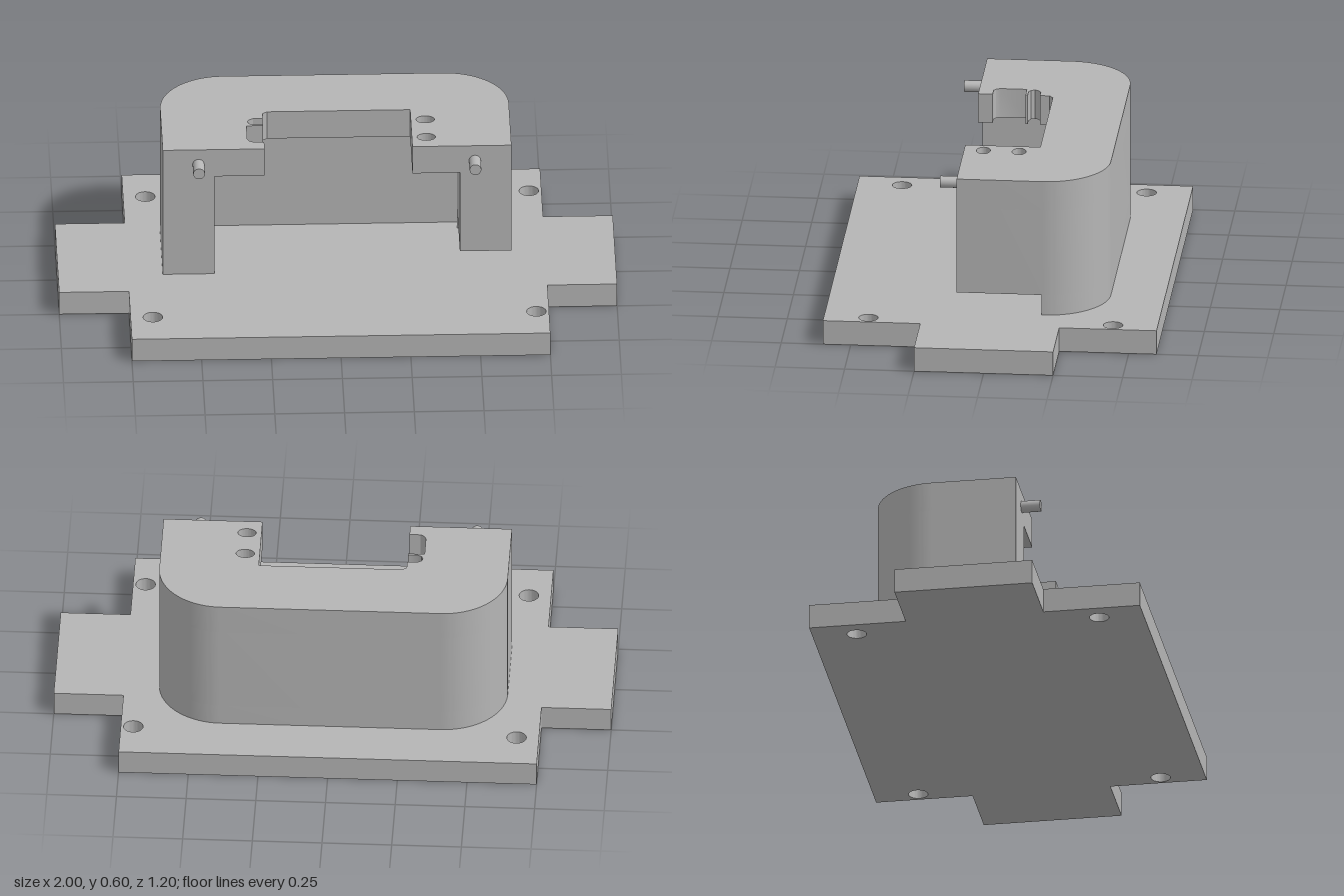
import * as THREE from 'three';
import { toCreasedNormals } from 'three/addons/utils/BufferGeometryUtils.js';

export function createModel() {
  const model = new THREE.Group();
  const grey = new THREE.MeshStandardMaterial({ color: 0xb5b5b5 });
  grey.name = 'matte grey';

  // Plan shapes use (x, -z); each is raised from y0 to y1.
  function addSlab(name, shape, y0, y1) {
    let geo = new THREE.ExtrudeGeometry(shape, { depth: y1 - y0, bevelEnabled: false, curveSegments: 20 });
    geo.rotateX(-Math.PI / 2);
    geo.translate(0, y0, 0);
    geo = toCreasedNormals(geo, 0.5);
    const mesh = new THREE.Mesh(geo, grey);
    mesh.name = name;
    model.add(mesh);
  }
  const lineTo = (shape, points) => points.forEach(([x, z]) => shape.lineTo(x, -z));
  function addHole(shape, x, z, rx, rz) {
    const hole = new THREE.Path();
    hole.absellipse(x, -z, rx, rz, 0, Math.PI * 2, true);
    shape.holes.push(hole);
  }

  // Cross-shaped base plate with four screw holes
  const plate = new THREE.Shape();
  plate.moveTo(-0.75, -0.6);
  lineTo(plate, [[0.75, 0.6], [0.75, 0.25], [1, 0.25], [1, -0.25], [0.75, -0.25], [0.75, -0.6],
    [-0.75, -0.6], [-0.75, -0.25], [-1, -0.25], [-1, 0.25], [-0.75, 0.25]]);
  for (const x of [-0.67, 0.705]) for (const z of [-0.44, 0.44]) addHole(plate, x, z, 0.035, 0.035);
  addSlab('basePlate', plate, 0, 0.09);

  // Housing outline with rounded back corners; the inner edge closes it
  const W = 0.625, F = 0.13, B = -0.405, R = 0.23;
  function housing(rightFront, inner) {
    const s = new THREE.Shape();
    s.moveTo(W, -rightFront);
    s.lineTo(W, -(B + R));
    s.absarc(W - R, -(B + R), R, 0, Math.PI / 2, false);
    s.absarc(-W + R, -(B + R), R, Math.PI / 2, Math.PI, false);
    s.lineTo(-W, -F);
    lineTo(s, inner);
    return s;
  }
  const IN = 0.44, back = -0.22, notch = B + R;
  const cavity = [[-IN, F], [-IN, back], [IN, back]];

  // Lower walls stop short on one side to leave a cable notch
  addSlab('lowerWalls', housing(notch, [...cavity, [IN, notch]]), 0.09, 0.167);
  addSlab('upperWalls', housing(F, [...cavity, [IN, F]]), 0.167, 0.49);

  // Roof opening with latch slots on one edge and oval holes beside the other
  const roof = housing(F, [
    [-0.26, F], [-0.26, 0.078], [-0.3, 0.078], [-0.313, 0.07], [-0.32, 0.055], [-0.32, -0.04], [-0.26, -0.04],
    [-0.26, -0.048], [-0.295, -0.048], [-0.31, -0.056], [-0.316, -0.07], [-0.31, -0.083], [-0.295, -0.092],
    [-0.26, -0.092], [-0.26, -0.127], [-0.243, -0.14], [0.27, -0.14], [0.27, F],
  ]);
  for (const z of [-0.068, 0.06]) addHole(roof, 0.322, z, 0.033, 0.025);
  addSlab('roof', roof, 0.49, 0.6);

  // Front pegs
  for (const x of [-0.497, 0.494]) {
    const peg = new THREE.Mesh(new THREE.CylinderGeometry(0.021, 0.021, 0.08, 24), grey);
    peg.rotation.x = Math.PI / 2;
    peg.position.set(x, 0.54, 0.16);
    peg.name = 'frontPeg';
    model.add(peg);
  }
  return model;
}
